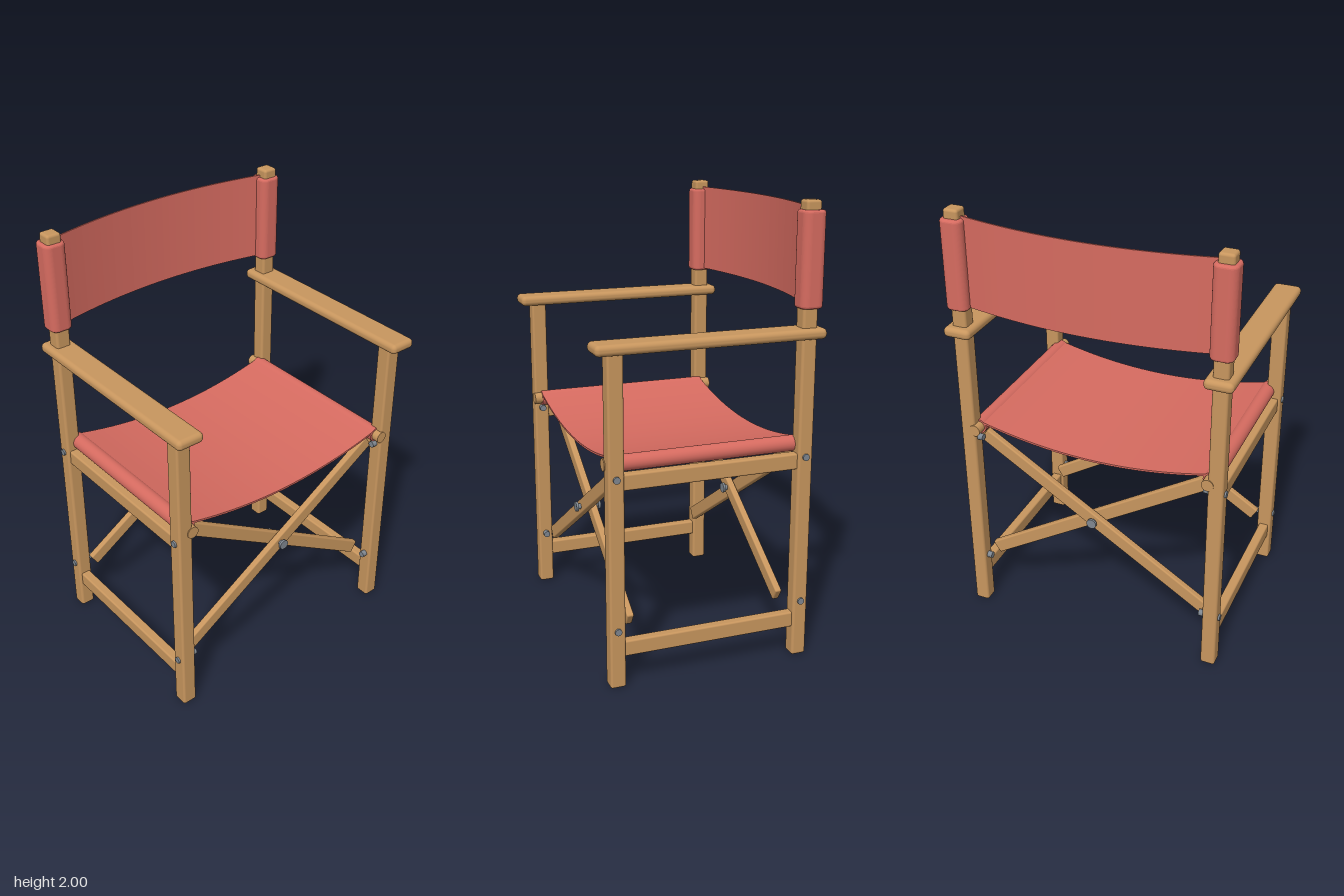
import * as THREE from 'three';
import { RoundedBoxGeometry } from 'three/addons/geometries/RoundedBoxGeometry.js';

const mat = (name, color) => {
  const m = new THREE.MeshStandardMaterial({ color });
  m.name = name;
  return m;
};

export function createModel() {
  const wood = mat('wood', 0xc8965e);
  const canvas = mat('canvas', 0xd66b60);
  const metal = mat('metal', 0x7f8790);
  const root = new THREE.Group();
  root.name = 'foldingArmchair';

  const add = (name, geo, material, x = 0, y = 0, z = 0) => {
    const m = new THREE.Mesh(geo, material);
    m.name = name;
    m.position.set(x, y, z);
    root.add(m);
    return m;
  };
  const box = (name, w, h, d, r, x, y, z) =>
    add(name, new RoundedBoxGeometry(w, h, d, 3, r), wood, x, y, z);
  // Cylinder along z or x
  const rod = (name, r, len, material, x, y, z, axis = 'z') => {
    const g = new THREE.CylinderGeometry(r, r, len, 24);
    if (axis === 'z') g.rotateX(Math.PI / 2);
    else g.rotateZ(Math.PI / 2);
    return add(name, g, material, x, y, z);
  };
  // Thin strip following v(u) = edge + (mid - edge) * (1 - (u/half)^2)
  const strip = (half, edge, mid, t, depth) => {
    const n = 32, up = [], down = [];
    for (let i = 0; i <= n; i++) {
      const u = -half + (2 * half * i) / n;
      const v = edge + (mid - edge) * (1 - (u / half) ** 2);
      up.push(new THREE.Vector2(u, v + t / 2));
      down.unshift(new THREE.Vector2(u, v - t / 2));
    }
    return new THREE.ExtrudeGeometry(new THREE.Shape([...down, ...up]),
      { depth, bevelEnabled: false });
  };

  const zFront = 0.412, zBack = -0.432, zMid = -0.01;

  // Rounded-square sleeve that wraps the top of a back post
  const a = 0.038, r = 0.02;
  const s = new THREE.Shape();
  s.moveTo(-a + r, -a);
  s.lineTo(a - r, -a); s.absarc(a - r, -a + r, r, -Math.PI / 2, 0);
  s.lineTo(a, a - r); s.absarc(a - r, a - r, r, 0, Math.PI / 2);
  s.lineTo(-a + r, a); s.absarc(-a + r, a - r, r, Math.PI / 2, Math.PI);
  s.lineTo(-a, -a + r); s.absarc(-a + r, -a + r, r, Math.PI, Math.PI * 1.5);
  const sleeveGeo = new THREE.ExtrudeGeometry(s, {
    depth: 0.376, bevelSize: 0.013, bevelThickness: 0.012, bevelSegments: 4, curveSegments: 6 });
  sleeveGeo.rotateX(-Math.PI / 2);

  for (const side of [1, -1]) {
    const x = 0.58 * side, label = side > 0 ? 'left' : 'right';
    // Posts, armrest and side rails
    box(label + 'FrontPost', 0.068, 1.45, 0.068, 0.01, x, 0.725, zFront);
    box(label + 'BackPost', 0.068, 2, 0.068, 0.012, x, 1, zBack);
    box(label + 'Armrest', 0.126, 0.046, 1, 0.02, x, 1.458, 0);
    box(label + 'UpperRail', 0.045, 0.07, 0.82, 0.008, x, 0.905, zMid);
    box(label + 'LowerRail', 0.045, 0.07, 0.82, 0.008, x, 0.17, zMid);
    // Canvas loops on post and seat dowel
    add(label + 'BackSleeve', sleeveGeo, canvas, x, 1.572, -0.436);
    rod(label + 'SeatDowel', 0.027, 0.92, wood, 0.546 * side, 0.973, zMid);
    rod(label + 'SeatSleeve', 0.035, 0.84, canvas, 0.546 * side, 0.973, -0.005);
    // Post bolts
    for (const z of [zFront, zBack])
      for (const y of [0.26, 0.925])
        rod(label + 'PostBolt', 0.015, 0.1, metal, 0.572 * side, y, z, 'x');
  }

  // Crossed braces with pivot bolts, front and back
  const angle = Math.atan2(0.66, 1.06);
  for (const [label, z] of [['front', 0.352], ['back', -0.377]]) {
    for (const dir of [1, -1]) {
      const dz = 0.018 * dir * Math.sign(z);
      const brace = box(label + 'Brace', 1.255, 0.064, 0.031, 0.007, 0, 0.595, z + dz);
      brace.rotation.z = angle * dir;
    }
    rod(label + 'PivotShaft', 0.013, 0.11, metal, 0, 0.595, z);
    for (const dz of [-0.052, 0.052])
      rod(label + 'PivotCap', 0.023, 0.011, metal, 0, 0.595, z + dz);
  }

  // Sagging seat
  add('seatCanvas', strip(0.55, 1.0, 0.928, 0.009, 0.84), canvas, 0, 0, -0.425);

  // Bowed back rest
  const back = strip(0.545, 0.438, 0.504, 0.007, 0.4);
  back.rotateX(-Math.PI / 2);
  add('backCanvas', back, canvas, 0, 1.57, 0);

  return root;
}
